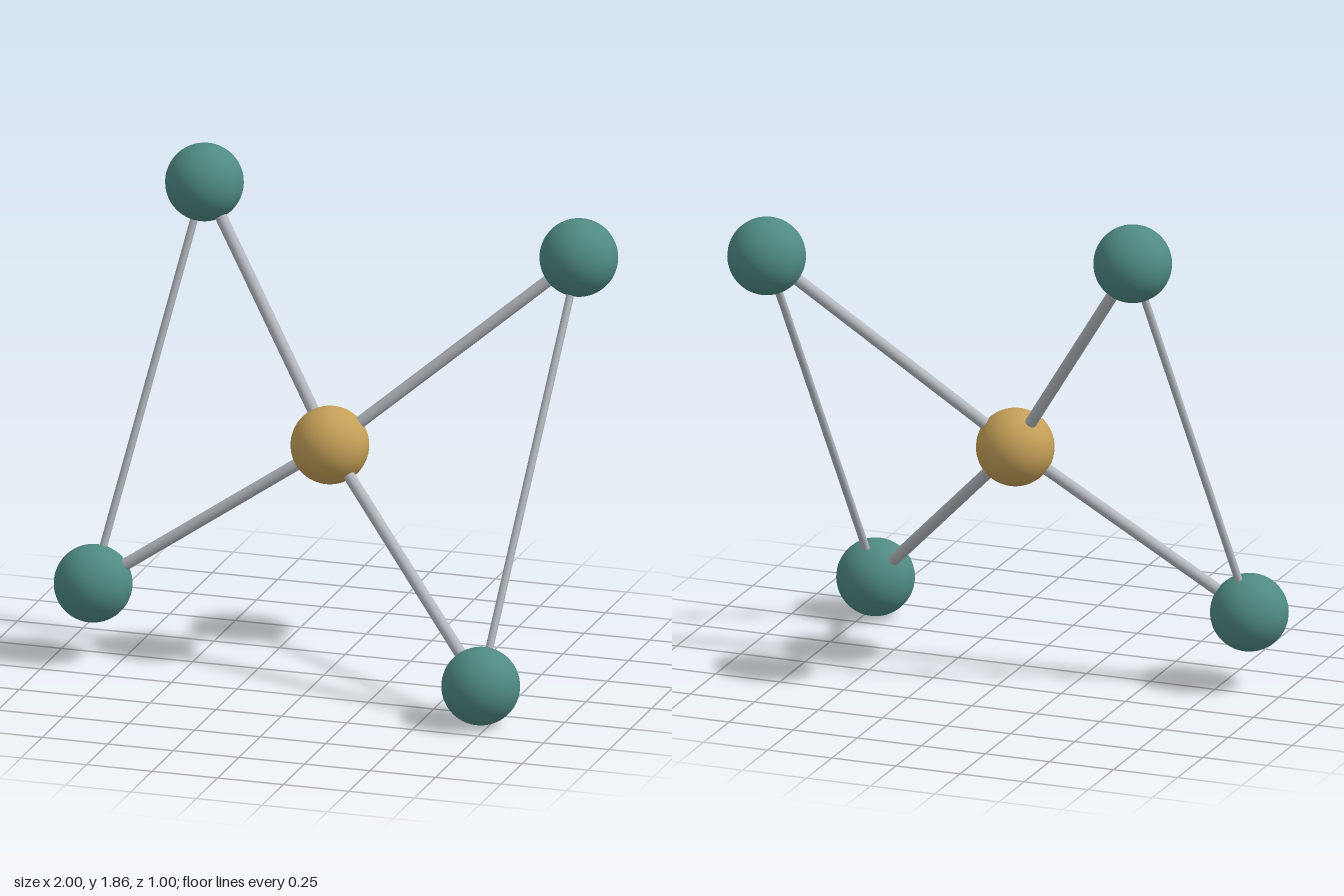
import * as THREE from 'three';

const V = (x, y, z) => new THREE.Vector3(x, y, z);

function makeMaterial(name, color) {
  const m = new THREE.MeshStandardMaterial({ color });
  m.name = name;
  return m;
}

export function createModel() {
  const teal = makeMaterial('teal', 0x4f8a83);
  const gold = makeMaterial('gold', 0xc49f58);
  const steel = makeMaterial('steel', 0xb4b9bf);

  const model = new THREE.Group();
  model.name = 'ballAndRodModel';

  const ballGeometry = new THREE.SphereGeometry(0.143, 48, 32);
  function addBall(name, position, material) {
    const ball = new THREE.Mesh(ballGeometry, material);
    ball.name = name;
    ball.position.copy(position);
    model.add(ball);
  }

  // Rod running between two ball centres
  function addRod(name, a, b, radius) {
    const dir = b.clone().sub(a);
    const rod = new THREE.Mesh(
      new THREE.CylinderGeometry(radius, radius, dir.length(), 20, 1, true), steel);
    rod.name = name;
    rod.position.copy(a).add(b).multiplyScalar(0.5);
    rod.quaternion.setFromUnitVectors(V(0, 1, 0), dir.normalize());
    model.add(rod);
  }

  const hub = V(0, 0.857, -0.071);
  const nodes = {
    upperRight: V(-0.571, 1.714, -0.357),
    lowerRight: V(-0.857, 0.286, 0.071),
    upperLeft: V(0.857, 1.571, -0.357),
    lowerLeft: V(0.714, 0.143, 0.357),
  };

  // Hub, outer balls and thick spokes
  addBall('hubBall', hub, gold);
  for (const [name, position] of Object.entries(nodes)) {
    addBall(name + 'Ball', position, teal);
    addRod(name + 'Spoke', hub, position, 0.022);
  }

  // Thin side links
  addRod('rightLink', nodes.upperRight, nodes.lowerRight, 0.0143);
  addRod('leftLink', nodes.upperLeft, nodes.lowerLeft, 0.0143);

  return model;
}
